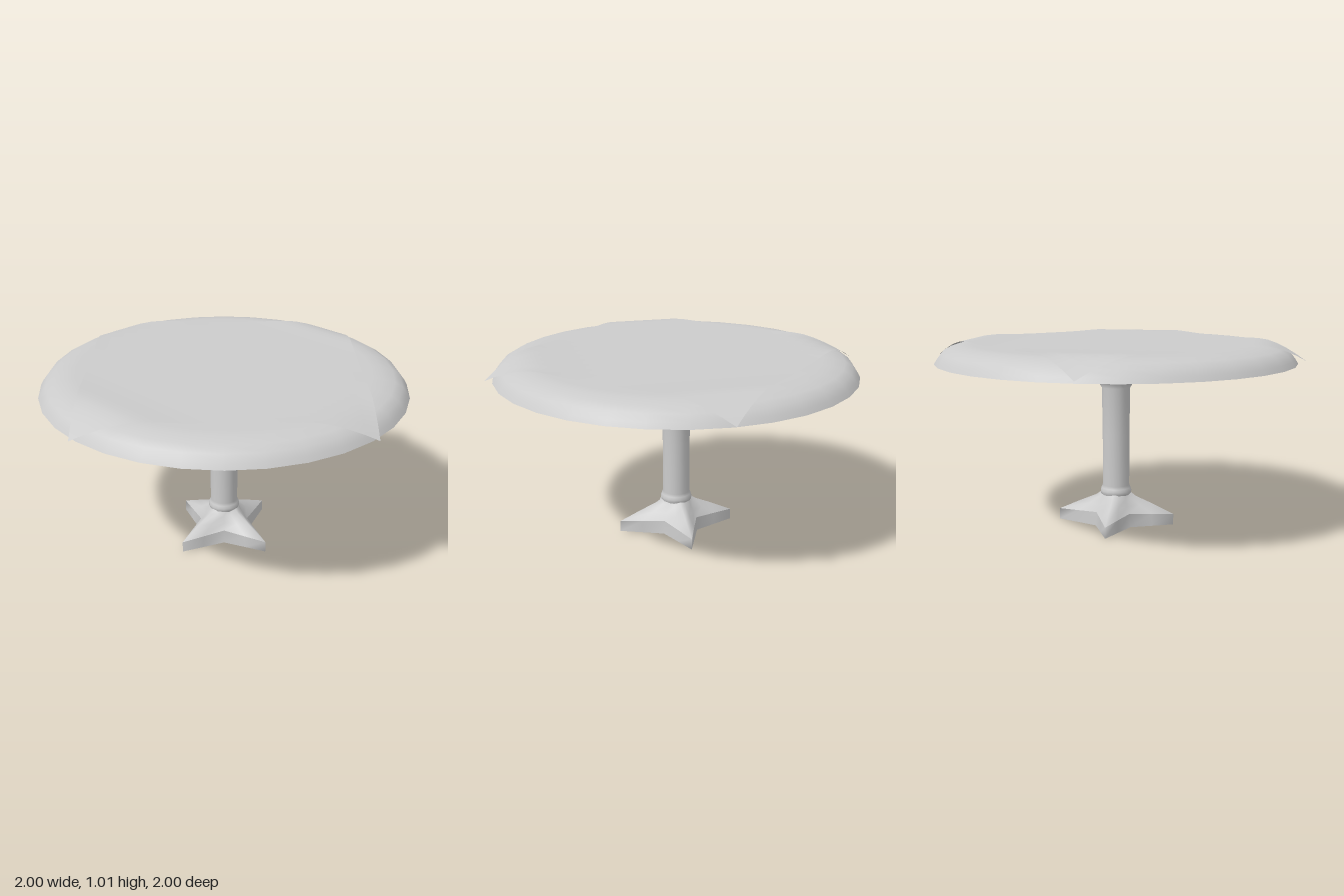
import * as THREE from 'three';

const material = new THREE.MeshStandardMaterial({ color: 0xcccccc, side: THREE.DoubleSide });

function addMesh(group, geometry, name) {
  const mesh = new THREE.Mesh(geometry, material);
  mesh.name = name;
  group.add(mesh);
  return mesh;
}

function lathe(points, segments) {
  return new THREE.LatheGeometry(points.map(([r, y]) => new THREE.Vector2(r, y)), segments);
}

// Joins closed rings of points, ordered from bottom to top, into one skin
function loft(rings) {
  const n = rings[0].length;
  const index = [];
  for (let j = 0; j < rings.length - 1; j++) {
    for (let i = 0; i < n; i++) {
      const a = j * n + i, b = j * n + (i + 1) % n;
      index.push(a, a + n, b, b, a + n, b + n);
    }
  }
  const geometry = new THREE.BufferGeometry();
  geometry.setAttribute('position', new THREE.Float32BufferAttribute(rings.flat(2), 3));
  geometry.setIndex(index);
  geometry.computeVertexNormals();
  return geometry;
}

// Four-pointed ring: tips on the axes, notches on the diagonals, straight edges between
function starRing(tipR, tipY, notchR, notchY) {
  const corners = [];
  for (let i = 0; i < 8; i++) {
    const a = i * Math.PI / 4;
    const [r, y] = i % 2 ? [notchR, notchY] : [tipR, tipY];
    corners.push(new THREE.Vector3(Math.cos(a) * r, y, Math.sin(a) * r));
  }
  return corners.flatMap((p, i) => {
    const q = corners[(i + 1) % 8];
    return [p.toArray(), p.clone().lerp(q, 0.5).toArray()];
  });
}

// Square cloth turned by 45 degrees, with corners drooping over the rim
function clothGeometry() {
  const geometry = new THREE.PlaneGeometry(Math.SQRT2, Math.SQRT2, 20, 20);
  geometry.rotateX(-Math.PI / 2).rotateY(Math.PI / 4);
  const pos = geometry.attributes.position;
  for (let i = 0; i < pos.count; i++) {
    const reach = Math.max(Math.abs(pos.getX(i)), Math.abs(pos.getZ(i)));
    const t = Math.max(0, (reach - 0.77) / 0.23);
    const lift = 0.006 * THREE.MathUtils.smoothstep(reach, 0.6, 0.75);
    pos.setY(i, 1.004 + lift - 0.095 * Math.pow(t, 1.6));
  }
  geometry.computeVertexNormals();
  return geometry;
}

export function createModel() {
  const table = new THREE.Group();
  table.name = 'pedestalTable';

  // Round top with a sloping, rounded rim and a flat underside
  addMesh(table, lathe([
    [0.96, 0.9], [0.945, 0.925], [0.92, 0.958], [0.88, 0.98], [0.82, 0.994], [0.76, 0.999], [0, 0.999],
  ], 32), 'tableTop');
  const underside = addMesh(table, new THREE.CircleGeometry(0.96, 32), 'tableUnderside');
  underside.rotation.x = Math.PI / 2;
  underside.position.y = 0.9;

  addMesh(table, clothGeometry(), 'tablecloth');

  // Column with a foot bead and a flared head
  addMesh(table, lathe([
    [0.075, 0.15], [0.084, 0.17], [0.086, 0.185], [0.08, 0.2], [0.074, 0.215],
    [0.074, 0.5], [0.078, 0.755], [0.1, 0.79], [0.127, 0.835], [0.13, 0.86], [0.13, 0.9],
  ], 16), 'column');

  // Star foot, open underneath: upright sides, then ridges rising to the column
  const footSides = loft([starRing(0.32, 0, 0.135, 0), starRing(0.32, 0.06, 0.13, 0.075)]);
  addMesh(table, footSides, 'footSides');
  addMesh(table, loft([
    starRing(0.32, 0.06, 0.13, 0.075),
    starRing(0.2, 0.115, 0.108, 0.11),
    starRing(0.11, 0.153, 0.09, 0.148),
    starRing(0.076, 0.178, 0.076, 0.178),
  ]), 'footTop');

  return table;
}
